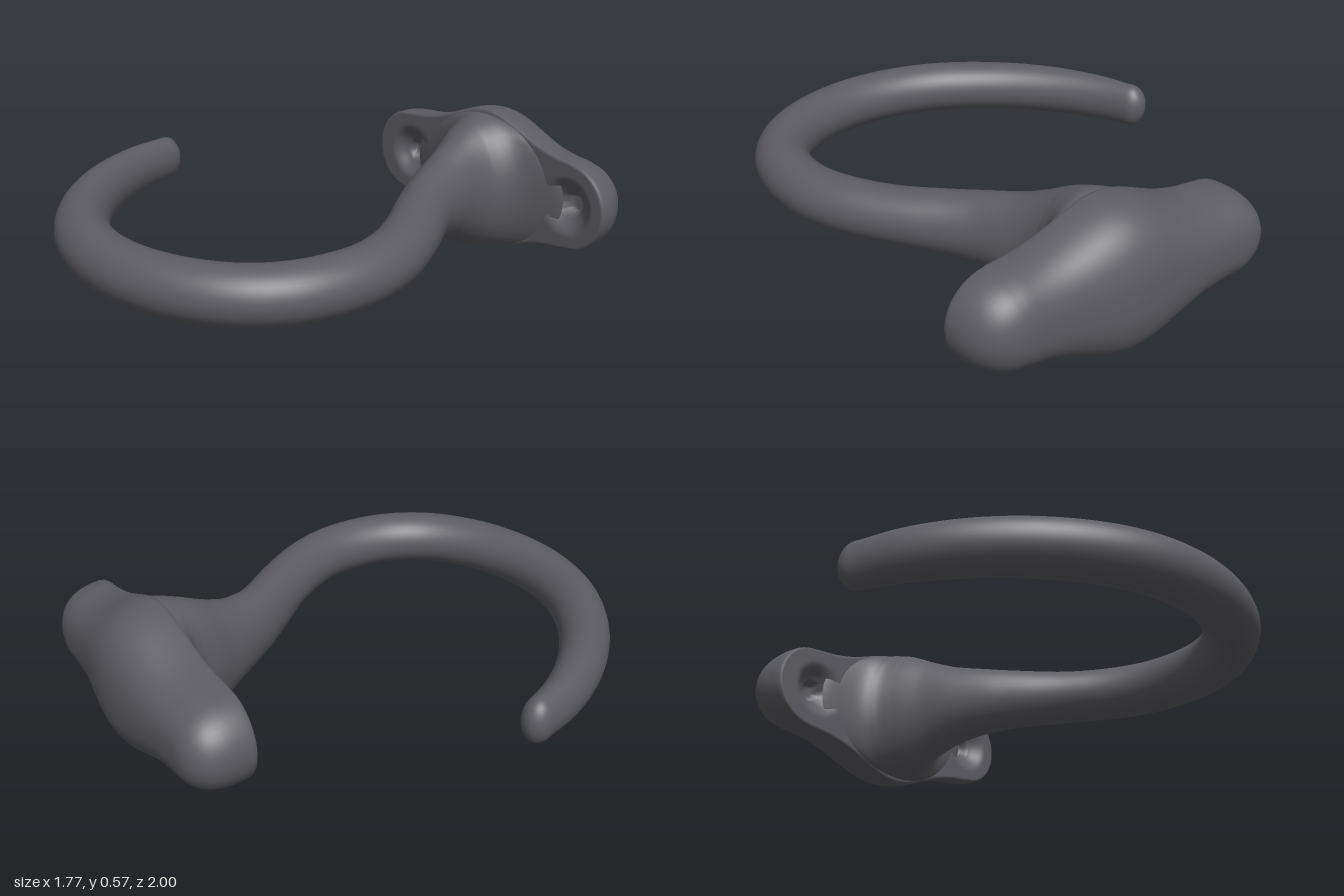
import * as THREE from 'three';

const MID_Y = 0.285;

// Skin a list of closed rings (each an array of [x, y, z]) with smooth normals
function loft(rings, material, name) {
  const n = rings[0].length, index = [];
  for (let i = 0; i < rings.length - 1; i++) {
    for (let j = 0; j < n; j++) {
      const k = (j + 1) % n;
      const a = i * n + j, b = i * n + k, c = a + n, d = b + n;
      index.push(a, c, b, b, c, d);
    }
  }
  const geo = new THREE.BufferGeometry();
  geo.setAttribute('position', new THREE.Float32BufferAttribute(rings.flat(2), 3));
  geo.setIndex(index);
  geo.computeVertexNormals();
  const mesh = new THREE.Mesh(geo, material);
  mesh.name = name;
  return mesh;
}

// Mounting plate: bulged stadium outline, flat slanted front, domed back
const LEFT = -0.18, RIGHT = 0.71, END_R = 0.17, SLANT = 0.115;
const bump = x => Math.exp(-(((x - 0.28) / 0.24) ** 2));
const halfHeight = x => END_R + 0.115 * bump(x);
const frontZ = x => -0.78 + (x + 0.35) * SLANT;
const depth = x => 0.238 + 0.025 * bump(x) - 0.03 * THREE.MathUtils.smoothstep(x, 0.3, 0.65);

function plateOutline() {
  const pts = []; // [spine x, offset x, offset y], counter-clockwise from the front
  const arc = (cx, start) => {
    for (let i = 0; i < 24; i++) {
      const a = start + (i / 24) * Math.PI;
      pts.push([cx, END_R * Math.cos(a), END_R * Math.sin(a)]);
    }
  };
  const edge = (from, to, sign) => {
    for (let i = 0; i < 40; i++) {
      const x = from + (to - from) * (i / 40);
      pts.push([x, 0, sign * halfHeight(x)]);
    }
  };
  arc(RIGHT, -Math.PI / 2);
  edge(RIGHT, LEFT, 1);
  arc(LEFT, Math.PI / 2);
  edge(LEFT, RIGHT, -1);
  return pts;
}

// Countersunk screw recess near each end of the front face
function recess(x, dy) {
  const r = Math.min(Math.hypot(x + 0.15, dy), Math.hypot(x - RIGHT, dy));
  return 0.045 * (1 - THREE.MathUtils.smoothstep(r, 0.04, 0.12))
    + 0.03 * (1 - THREE.MathUtils.smoothstep(r, 0.03, 0.05));
}

function makePlate(material) {
  const outline = plateOutline(), rings = [];
  const ring = (s, zOf) => rings.push(outline.map(([sx, ox, oy]) => {
    const x = sx + ox * s, dy = oy * s;
    return [x, MID_Y + dy, zOf(x, dy, sx)];
  }));
  for (let i = 0; i <= 26; i++) ring(0.96 * i / 26, (x, dy) => frontZ(x) - recess(x, dy));
  ring(0.985, x => frontZ(x) - 0.004);
  for (let i = 0; i <= 20; i++) {
    const t = (i / 20) * Math.PI / 2;
    const s = Math.max(0, Math.cos(t)) ** 0.8, d = Math.sin(t) ** 0.8;
    ring(s, (x, dy, sx) => frontZ(x) - 0.018 - (depth(sx) - 0.018) * d);
  }
  return loft(rings, material, 'mountingPlate');
}

// Hook stations: x, z, in-plane radius, vertical radius
const STATIONS = [
  [0.28, -0.728, 0.4, 0.262], [0.28, -0.684, 0.255, 0.274], [0.275, -0.644, 0.195, 0.268],
  [0.272, -0.59, 0.16, 0.248], [0.287, -0.5, 0.13, 0.205], [0.31, -0.4, 0.117, 0.165],
  [0.35, -0.28, 0.107, 0.138], [0.4, -0.18, 0.104, 0.122], [0.51, 0.01, 0.104, 0.106],
  [0.59, 0.2, 0.105, 0.104], [0.617, 0.38, 0.105, 0.104], [0.568, 0.6, 0.105, 0.104],
  [0.453, 0.755, 0.104, 0.104], [0.265, 0.86, 0.103, 0.104], [0.04, 0.898, 0.102, 0.104],
  [-0.18, 0.866, 0.102, 0.104], [-0.375, 0.775, 0.1, 0.104], [-0.56, 0.615, 0.096, 0.102],
  [-0.7, 0.42, 0.087, 0.1], [-0.787, 0.22, 0.074, 0.095], [-0.825, 0.05, 0.06, 0.089],
];

function makeHook(material) {
  const path = new THREE.CatmullRomCurve3(STATIONS.map(([x, z]) => new THREE.Vector3(x, MID_Y - 0.001, z)));
  const radii = new THREE.SplineCurve(STATIONS.map(([, , rx, ry]) => new THREE.Vector2(rx, ry)));
  const up = new THREE.Vector3(0, 1, 0), rings = [];
  const plateNormal = new THREE.Vector3(-SLANT, 0, 1).normalize();
  const ring = (c, tangent, rx, ry) => {
    const side = new THREE.Vector3().crossVectors(tangent, up).normalize();
    rings.push(Array.from({ length: 40 }, (_, j) => {
      const a = (j / 40) * Math.PI * 2;
      return c.clone().addScaledVector(side, rx * Math.cos(a)).addScaledVector(up, ry * Math.sin(a)).toArray();
    }));
  };
  // The flared neck starts parallel to the plate, then follows the path
  for (let i = 0; i <= 140; i++) {
    const t = i / 140, r = radii.getPoint(t);
    const dir = plateNormal.clone().lerp(path.getTangent(t), THREE.MathUtils.smoothstep(t, 0.1, 0.32));
    ring(path.getPoint(t), dir, r.x, r.y);
  }
  // Rounded tip
  const end = path.getPoint(1), dir = path.getTangent(1);
  for (let i = 1; i <= 10; i++) {
    const a = (i / 10) * Math.PI / 2, s = Math.max(0, Math.cos(a));
    ring(end.clone().addScaledVector(dir, 0.068 * Math.sin(a)), dir, 0.06 * s, 0.089 * s);
  }
  return loft(rings, material, 'hook');
}

export function createModel() {
  const iron = new THREE.MeshStandardMaterial({ color: 0x5d5c63 });
  iron.name = 'darkIron';
  const group = new THREE.Group();
  group.name = 'wallHook';
  group.add(makePlate(iron), makeHook(iron));
  return group;
}
